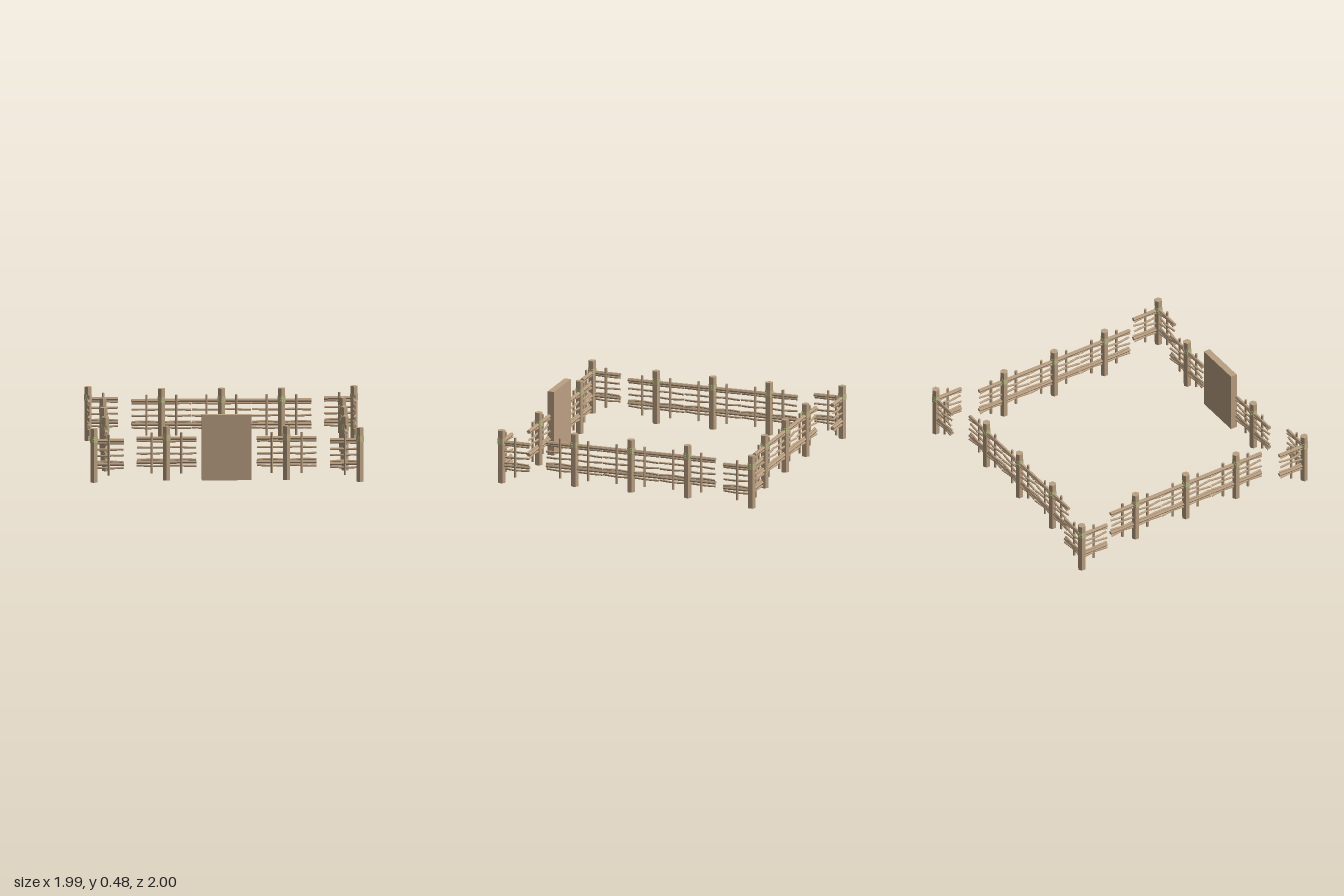
import * as THREE from 'three';

const mat = (name, color) => {
  const m = new THREE.MeshStandardMaterial({ color, flatShading: true });
  m.name = name;
  return m;
};

export function createModel() {
  const wood = mat('wood', 0xbba082);
  const rope = mat('rope', 0xbab584);

  const model = new THREE.Group();
  model.name = 'wattleFence';

  const add = (parent, name, geometry, material, x = 0, y = 0, z = 0) => {
    const mesh = new THREE.Mesh(geometry, material);
    mesh.name = name;
    mesh.position.set(x, y, z);
    parent.add(mesh);
  };

  // Shared geometry
  const postGeo = new THREE.CylinderGeometry(0.029, 0.029, 0.395, 6);
  const stakeGeo = new THREE.CylinderGeometry(0.01, 0.01, 0.3, 6);
  const ropeGeo = new THREE.CylinderGeometry(0.0325, 0.0325, 0.013, 6);

  // Upright hexagonal post with three rope loops
  function addPost(x, z) {
    const post = new THREE.Group();
    post.name = 'post';
    post.position.set(x, 0, z);
    add(post, 'postTrunk', postGeo, wood, 0, 0.1975, 0);
    for (const y of [0.299, 0.314, 0.329]) add(post, 'ropeBinding', ropeGeo, rope, 0, y, 0);
    model.add(post);
  }

  // Straight rail along x
  const railGeo = (from, to) =>
    new THREE.CylinderGeometry(0.014, 0.014, to - from, 6).rotateZ(Math.PI / 2).translate((from + to) / 2, 0, 0);

  // Thin branch weaving gently either side of the stakes
  function withyGeo(from, to, row) {
    const points = [];
    const side = row % 2 ? 1 : -1;
    const n = Math.round((to - from) / 0.054);
    for (let i = 0; i <= n; i++) {
      const x = from + ((to - from) * i) / n;
      points.push(new THREE.Vector3(x, 0.002 * Math.sin(i * 1.2 + row * 2), side * 0.006 * Math.cos((x * Math.PI) / 0.11)));
    }
    return new THREE.TubeGeometry(new THREE.CatmullRomCurve3(points), n, 0.008, 6);
  }

  // Build the panel parts once for each span
  function panelParts(from, to, stakes) {
    const rail = railGeo(from, to);
    const withies = [0.285, 0.24, 0.195, 0.15, 0.105].map((y, i) => [y, withyGeo(from + 0.002, to - 0.002, i)]);
    return { rail, withies, stakes };
  }
  const fullPanel = panelParts(-0.218, 0.218, [-0.108, 0.108]);
  const armPanel = panelParts(0, 0.218, [0.108]);
  const armPanelBack = panelParts(-0.218, 0, [-0.108]);

  // Place a panel, turned to run along z for the side walls
  function addPanel(parts, x, z, alongZ) {
    const panel = new THREE.Group();
    panel.name = 'fencePanel';
    panel.position.set(x, 0, z);
    if (alongZ) panel.rotation.y = Math.PI / 2;
    for (const y of [0.306, 0.132]) add(panel, 'rail', parts.rail, wood, 0, y, 0);
    for (const [y, geo] of parts.withies) add(panel, 'wovenBranch', geo, wood, 0, y, 0);
    for (const sx of parts.stakes) add(panel, 'stake', stakeGeo, wood, sx, 0.2, 0.007);
    model.add(panel);
  }

  // Back and side walls: three sections each; front wall leaves the gate gap
  for (const s of [-0.436, 0, 0.436]) {
    addPost(s, -0.873);
    addPanel(fullPanel, s, -0.873, false);
    for (const x of [-0.87, 0.87]) {
      addPost(x, s);
      addPanel(fullPanel, x, s, true);
    }
    if (s !== 0) {
      addPost(s, 0.87);
      addPanel(fullPanel, s, 0.87, false);
    }
  }

  // Corner posts with two short arms pointing inwards
  for (const sx of [-1, 1]) {
    for (const sz of [-1, 1]) {
      const x = sx * 0.965;
      const z = sz * 0.965;
      addPost(x, z);
      addPanel(sx < 0 ? armPanel : armPanelBack, x, z, false);
      addPanel(sz > 0 ? armPanel : armPanelBack, x, z, true);
    }
  }

  // Plain gate slab
  add(model, 'gate', new THREE.BoxGeometry(0.36, 0.48, 0.05), wood, 0, 0.24, 0.87);

  return model;
}
